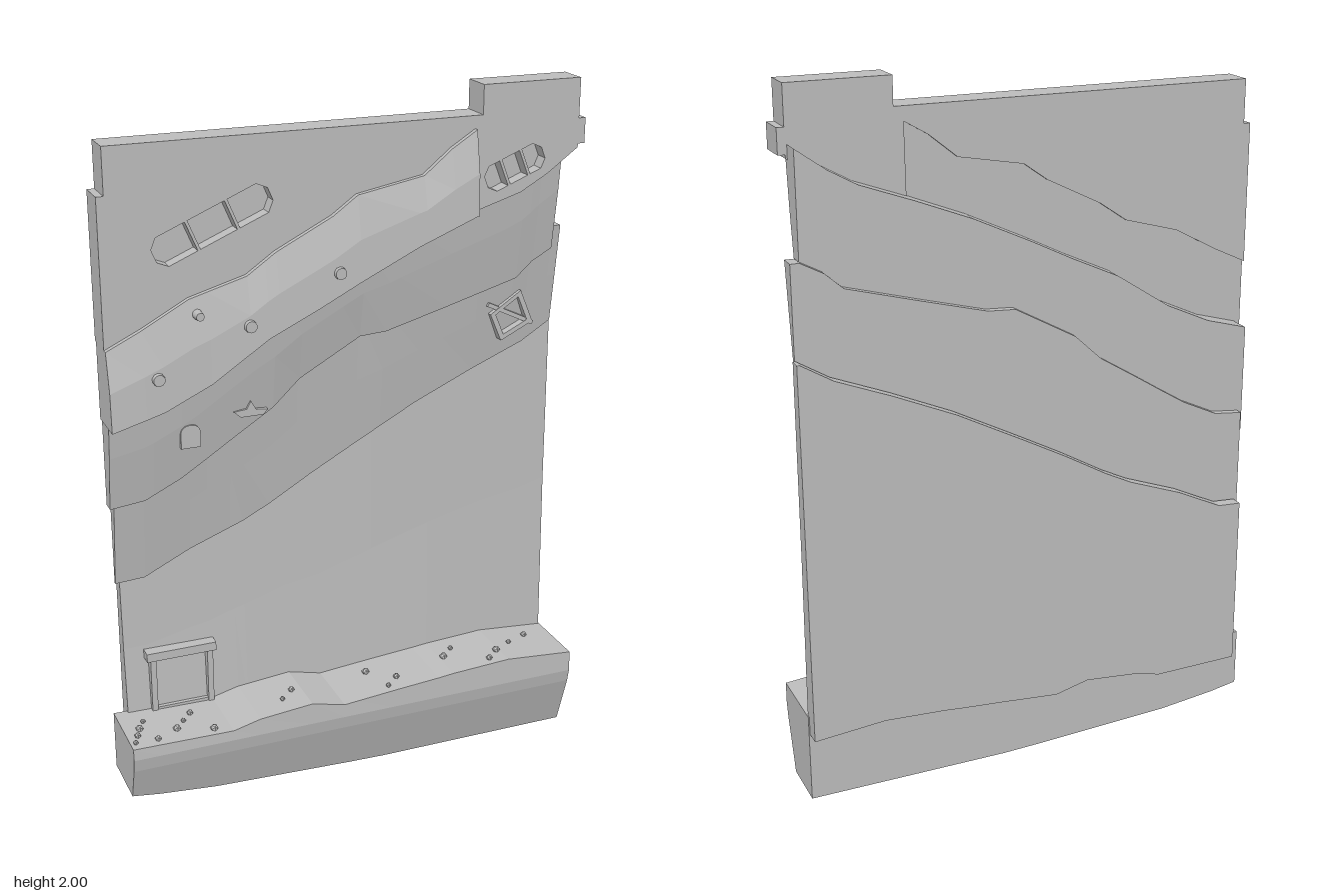
import * as THREE from 'three';

const stone = new THREE.MeshStandardMaterial({ color: 0xbcbcbc });
stone.name = 'greyStone';

// Height of a polyline at x
function at(line, x) {
  if (x <= line[0][0]) return line[0][1];
  for (let i = 1; i < line.length; i++) {
    const [x0, y0] = line[i - 1], [x1, y1] = line[i];
    if (x <= x1) return y0 + (y1 - y0) * (x - x0) / (x1 - x0);
  }
  return line[line.length - 1][1];
}

// Joins [z, y] cross-sections (back top, front top ... back bottom) along x
function loft(xs, section) {
  const pos = [];
  const rings = xs.map(x => section(x).map(([z, y]) => [x, y, z]));
  const tri = (a, b, c) => pos.push(...a, ...b, ...c);
  const n = rings[0].length, last = rings[rings.length - 1];
  for (let s = 0; s < rings.length - 1; s++) {
    const a = rings[s], b = rings[s + 1];
    for (let i = 0; i < n; i++) {
      const j = (i + 1) % n;
      tri(a[i], a[j], b[j]);
      tri(a[i], b[j], b[i]);
    }
  }
  for (let i = 1; i < n - 1; i++) {
    tri(rings[0][0], rings[0][i + 1], rings[0][i]);
    tri(last[0], last[i], last[i + 1]);
  }
  const g = new THREE.BufferGeometry();
  g.setAttribute('position', new THREE.Float32BufferAttribute(pos, 3));
  g.computeVertexNormals();
  return g;
}

// Rock layer between two wavy edges, with a leaning front
function layer(x0, x1, top, bottom, zTop, zMid, zBottom, zBack) {
  const inner = [...top, ...bottom].map(p => p[0]).filter(x => x > x0 + 0.005 && x < x1 - 0.005);
  const xs = [...new Set([x0, ...inner, x1])].sort((a, b) => a - b);
  return loft(xs, x => {
    const t = at(top, x), b = at(bottom, x);
    return [[zBack, t], [zTop, t], [zMid, (t + b) / 2], [zBottom, b], [zBack, b]];
  });
}

const raise = (line, h) => line.map(([x, y]) => [x, y + h]);

const ribTop = [[-0.695, 1.395], [-0.6, 1.44], [-0.47, 1.51], [-0.31, 1.555], [-0.23, 1.61], [-0.07, 1.69],
  [0, 1.74], [0.19, 1.775], [0.27, 1.84], [0.35, 1.89]];
const ribBottom = [[-0.69, 1.18], [-0.55, 1.22], [-0.42, 1.28], [-0.26, 1.385], [-0.12, 1.45], [0, 1.51],
  [0.17, 1.59], [0.335, 1.655]];
const slabBottom = [[0.335, 1.655], [0.485, 1.7], [0.565, 1.745], [0.655, 1.81]];
const upperBottom = [[-0.665, 0.9], [-0.575, 0.91], [-0.47, 0.96], [-0.39, 1.01], [-0.32, 1.055], [-0.2, 1.13],
  [-0.12, 1.205], [0.06, 1.305], [0.14, 1.31], [0.325, 1.36], [0.54, 1.42], [0.59, 1.465], [0.655, 1.5]];
const middleBottom = [[-0.655, 0.65], [-0.575, 0.655], [-0.44, 0.72], [-0.28, 0.78], [-0.2, 0.82], [-0.07, 0.895],
  [0.06, 0.965], [0.25, 1.065], [0.43, 1.145], [0.59, 1.21], [0.68, 1.265]];
const baseTop = [[-0.685, 0.235], [-0.39, 0.23], [-0.31, 0.25], [-0.15, 0.265], [-0.05, 0.24], [0.12, 0.255],
  [0.25, 0.265], [0.3, 0.27], [0.48, 0.28], [0.69, 0.262]];
const baseBottom = [[-0.685, 0.06], [-0.6, 0.045], [-0.43, 0.025], [-0.01, 0.004], [0.1, 0], [0.69, 0]];

// Closed path from points, turned by angle and moved to (cx, cy)
function path(points, cx, cy, angle, Type = THREE.Path) {
  const c = Math.cos(angle), s = Math.sin(angle);
  return new Type(points.map(([x, y]) => new THREE.Vector2(cx + x * c - y * s, cy + x * s + y * c)));
}

// Three panes with clipped outer corners
function panes(cx, cy, angle, len, h) {
  const w = len / 3, k = h * 0.28, t = h / 2, gap = 0.004;
  return [-1, 0, 1].map(i => {
    const a = (i - 0.5) * w + gap, b = (i + 0.5) * w - gap;
    const left = i < 0 ? [[a, t - k], [a, k - t], [a + k, -t]] : [[a, t], [a, -t]];
    const right = i > 0 ? [[b - k, -t], [b, k - t], [b, t - k], [b - k, t]] : [[b, -t], [b, t]];
    return path([...left, ...right, ...(i < 0 ? [[a + k, t]] : [])], cx, cy, angle);
  });
}

export function createModel() {
  const group = new THREE.Group();
  const add = (name, geo, x = 0, y = 0, z = 0) => {
    const m = new THREE.Mesh(geo, stone);
    m.name = name;
    m.position.set(x, y, z);
    group.add(m);
    return m;
  };
  const extrude = (shape, depth) => new THREE.ExtrudeGeometry(shape, { depth, bevelEnabled: false });
  const box = (name, x0, x1, y0, y1, z0, z1) => add(name, new THREE.BoxGeometry(x1 - x0, y1 - y0, z1 - z0),
    (x0 + x1) / 2, (y0 + y1) / 2, (z0 + z1) / 2);

  // Top slab with the raised corner; windows are cut in its front half
  const outline = [...ribTop.slice(0, -1), [0.338, 1.88], ...slabBottom, [0.655, 1.82], [0.675, 1.82], [0.675, 1.89],
    [0.655, 1.89], [0.655, 2], [0.365, 2], [0.365, 1.92], [-0.675, 1.92], [-0.675, 1.795], [-0.695, 1.795]];
  const front = path(outline, 0, 0, 0, THREE.Shape);
  front.holes.push(...panes(-0.395, 1.695, 0.4, 0.35, 0.085), ...panes(0.465, 1.77, 0.38, 0.19, 0.075));
  add('topSlabFront', extrude(front, 0.04), 0, 0, 0.04);
  add('topSlabBack', extrude(path(outline, 0, 0, 0, THREE.Shape), 0.05), 0, 0, -0.01);

  // Projecting band and the layers stepping back below it
  add('projectingBand', layer(-0.695, 0.342, ribTop, ribBottom, 0.095, 0.118, 0.122, 0));
  const upperTop = [...raise(ribBottom, 0.03), ...raise(slabBottom.slice(1), 0.04)];
  add('upperLayer', layer(-0.675, 0.65, upperTop, upperBottom, 0.01, -0.008, -0.033, -0.067));
  add('middleLayer', layer(-0.66, 0.68, raise(upperBottom, 0.06), middleBottom, -0.04, -0.06, -0.08, -0.088));
  const wallBottom = raise(baseTop, -0.055);
  add('lowerWall', layer(-0.645, 0.687, raise(middleBottom, 0.04), wallBottom, -0.095, -0.087, -0.07, -0.13));

  // Base ledge with an undercut front
  const baseXs = [...new Set([...baseTop, ...baseBottom].map(p => p[0]))].sort((a, b) => a - b);
  add('baseLedge', loft(baseXs, x => {
    const t = at(baseTop, x), b = at(baseBottom, x);
    return [[-0.085, t], [0.128, t], [0.13, 0.2], [0.122, 0.16], [0.07 + b * 0.32, b], [-0.085, b]];
  }));

  // Doorway
  box('doorLintel', -0.587, -0.38, 0.398, 0.424, -0.1, -0.05);
  box('doorPostRight', -0.575, -0.558, 0.22, 0.4, -0.1, -0.058);
  box('doorPostLeft', -0.405, -0.388, 0.22, 0.4, -0.1, -0.058);
  box('doorSill', -0.56, -0.4, 0.22, 0.24, -0.1, -0.062);

  // Round knobs on the projecting band
  for (const [x, y, r] of [[-0.565, 1.312, 0.02], [-0.45, 1.47, 0.014], [-0.312, 1.426, 0.02], [-0.06, 1.542, 0.02]]) {
    const knob = new THREE.CylinderGeometry(r * 0.8, r, 0.03, 10).rotateX(Math.PI / 2);
    add('knob', knob, x, y, 0.115);
  }

  // Small arched plate
  const arch = new THREE.Shape();
  arch.moveTo(-0.028, -0.033);
  arch.lineTo(0.028, -0.033);
  arch.lineTo(0.028, 0.012);
  arch.quadraticCurveTo(0.024, 0.033, 0, 0.033);
  arch.quadraticCurveTo(-0.024, 0.033, -0.028, 0.012);
  add('archPlate', extrude(arch, 0.03), -0.447, 1.09, -0.035);

  // Small flat fragment with a raised stub
  const fragment = [[-0.05, 0.004], [-0.03, -0.014], [0.035, -0.014], [0.05, 0], [0.015, 0.004], [0, 0.03], [-0.012, 0.008]];
  add('rockFragment', extrude(path(fragment, 0, 0, 0, THREE.Shape), 0.03), -0.27, 1.135, -0.045);

  // Tilted square frame with a diagonal brace
  const square = s => [[-0.05, -0.055], [0.055, -0.045], [0.05, 0.055], [-0.055, 0.03]].map(p => p.map(v => v * s));
  const frame = path(square(1.05), 0, 0, 0.35, THREE.Shape);
  frame.holes.push(path(square(0.78), 0, 0, 0.35));
  add('tiltedFrame', extrude(frame, 0.03), 0.535, 1.305, -0.075);
  add('frameBrace', new THREE.BoxGeometry(0.16, 0.012, 0.03), 0.535, 1.31, -0.062).rotation.z = -0.45;

  // Pebbles along the base ledge
  const pebbles = [-0.67, -0.655, -0.64, -0.62, -0.605, -0.54, -0.51, -0.48, -0.44, -0.22, -0.18, 0.07, 0.1, 0.14,
    0.31, 0.35, 0.43, 0.47, 0.53, 0.6];
  pebbles.forEach((x, i) => {
    const r = 0.008 + 0.004 * ((i * 7) % 3) / 2;
    add('pebble', new THREE.IcosahedronGeometry(r, 0), x, at(baseTop, x) + 0.005, 0.1 - 0.035 * ((i * 5) % 4));
  });

  return group;
}
